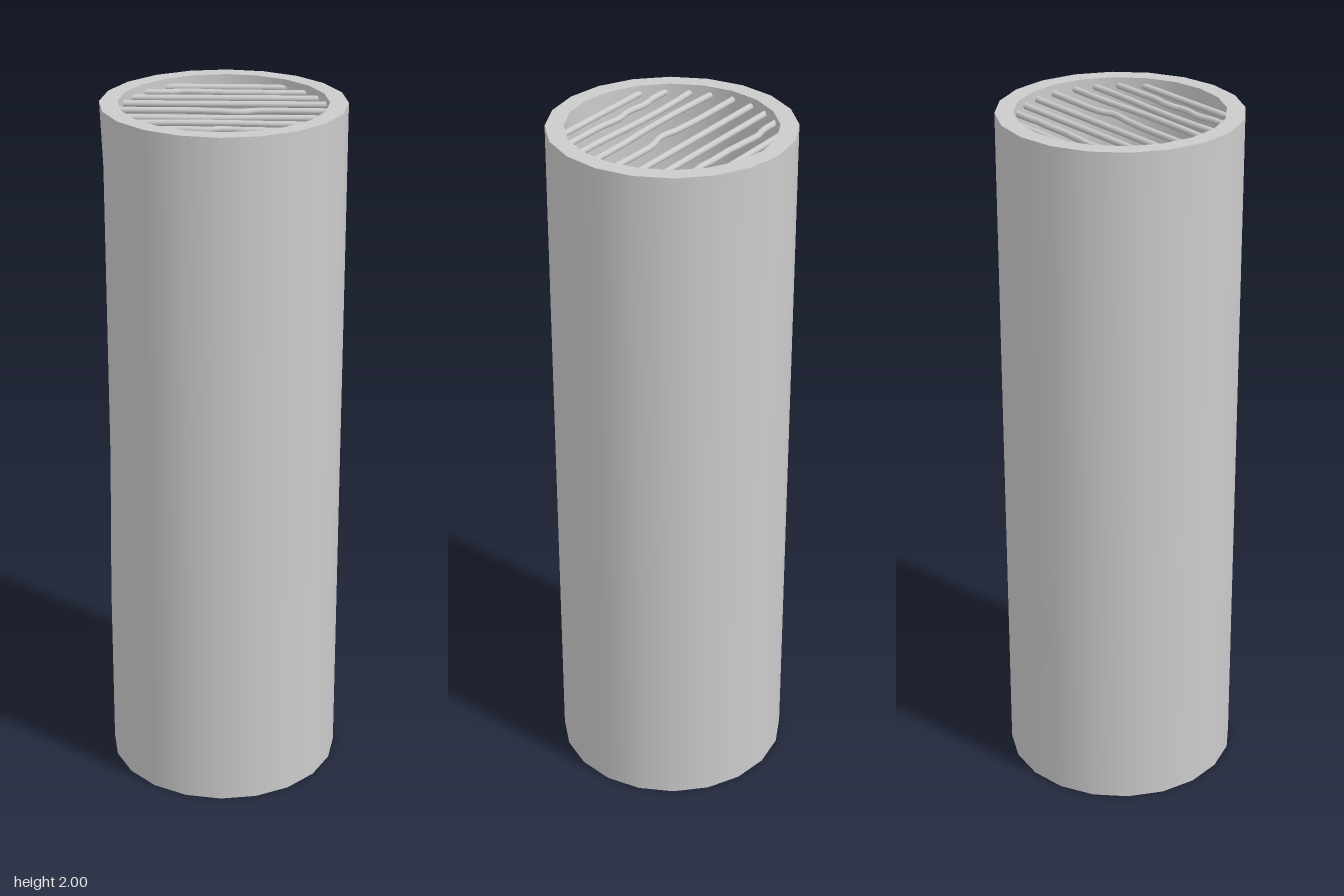
import * as THREE from 'three';

const OUTER = 0.335, INNER = 0.285, HEIGHT = 2, SIDES = 20;

// Bars of the grate: resting z, then the [x, z] points where the bar is bent
const BARS = [
  [-0.238, []],
  [-0.183, [[-0.155, -0.183], [-0.122, -0.191], [-0.09, -0.19], [-0.06, -0.187], [-0.03, -0.186],
    [0, -0.183], [0.09, -0.183], [0.122, -0.18], [0.155, -0.183]]],
  [-0.126, []],
  [-0.067, []],
  [-0.001, [[-0.09, -0.001], [-0.05, 0.002], [-0.02, 0.004], [0.018, 0.011], [0.05, 0.011], [0.085, -0.001]]],
  [0.067, [[-0.14, 0.072], [0, 0.072], [0.14, 0.066]]],
  [0.124, [[-0.15, 0.117], [0, 0.117], [0.15, 0.124]]],
  [0.181, [[-0.155, 0.181], [-0.13, 0.176], [-0.1, 0.176], [-0.07, 0.181], [-0.04, 0.181],
    [-0.01, 0.175], [0.03, 0.176], [0.06, 0.181]]],
  [0.232, []],
];

export function createModel() {
  const group = new THREE.Group();
  const material = new THREE.MeshStandardMaterial({ color: 0xcccccc });
  const inside = new THREE.MeshStandardMaterial({ color: 0xcccccc, side: THREE.BackSide });
  const thin = new THREE.MeshStandardMaterial({ color: 0xcccccc, side: THREE.DoubleSide });

  const add = (name, geometry, mat = material, y = 0) => {
    const mesh = new THREE.Mesh(geometry, mat);
    mesh.name = name;
    mesh.position.y = y;
    group.add(mesh);
    return mesh;
  };

  // Outer wall with shallow dents on the -x and -z sides
  const wall = new THREE.CylinderGeometry(OUTER, OUTER, HEIGHT, SIDES, 4, true);
  wall.translate(0, HEIGHT / 2, 0);
  const p = wall.attributes.position;
  for (let i = 0; i < p.count; i++) {
    const x = p.getX(i), y = p.getY(i), z = p.getZ(i);
    if (x < -0.33 && (y === 1 || y === 1.5)) p.setX(i, -0.315);
    if (z < -0.33 && (y === 1 || y === 0.5)) p.setZ(i, -0.315);
  }
  add('outerWall', wall);

  // Inner wall and the flat rims at both ends
  add('innerWall', new THREE.CylinderGeometry(INNER, INNER, HEIGHT, SIDES, 1, true), inside, HEIGHT / 2);
  const rim = new THREE.RingGeometry(INNER, OUTER, SIDES);
  add('topRim', rim.clone().rotateX(-Math.PI / 2), material, HEIGHT);
  add('bottomRim', rim.clone().rotateX(Math.PI / 2));

  // Disc closing the pipe just above its lower end
  add('floor', new THREE.CircleGeometry(INNER, SIDES).rotateX(-Math.PI / 2), thin, 0.045);

  // Grate of bent round bars, ends buried in the wall
  const grate = new THREE.Group();
  grate.name = 'grate';
  grate.position.y = HEIGHT - 0.025;
  for (const [z, bends] of BARS) {
    const end = Math.sqrt(0.3 ** 2 - z * z);
    const points = [[-end, z], ...bends, [end, z]].map(([px, pz]) => new THREE.Vector3(px, 0, pz));
    const path = new THREE.CatmullRomCurve3(points);
    const bar = new THREE.Mesh(new THREE.TubeGeometry(path, bends.length ? 36 : 1, 0.009, 10), material);
    bar.name = 'grateBar';
    grate.add(bar);
  }
  group.add(grate);

  return group;
}
